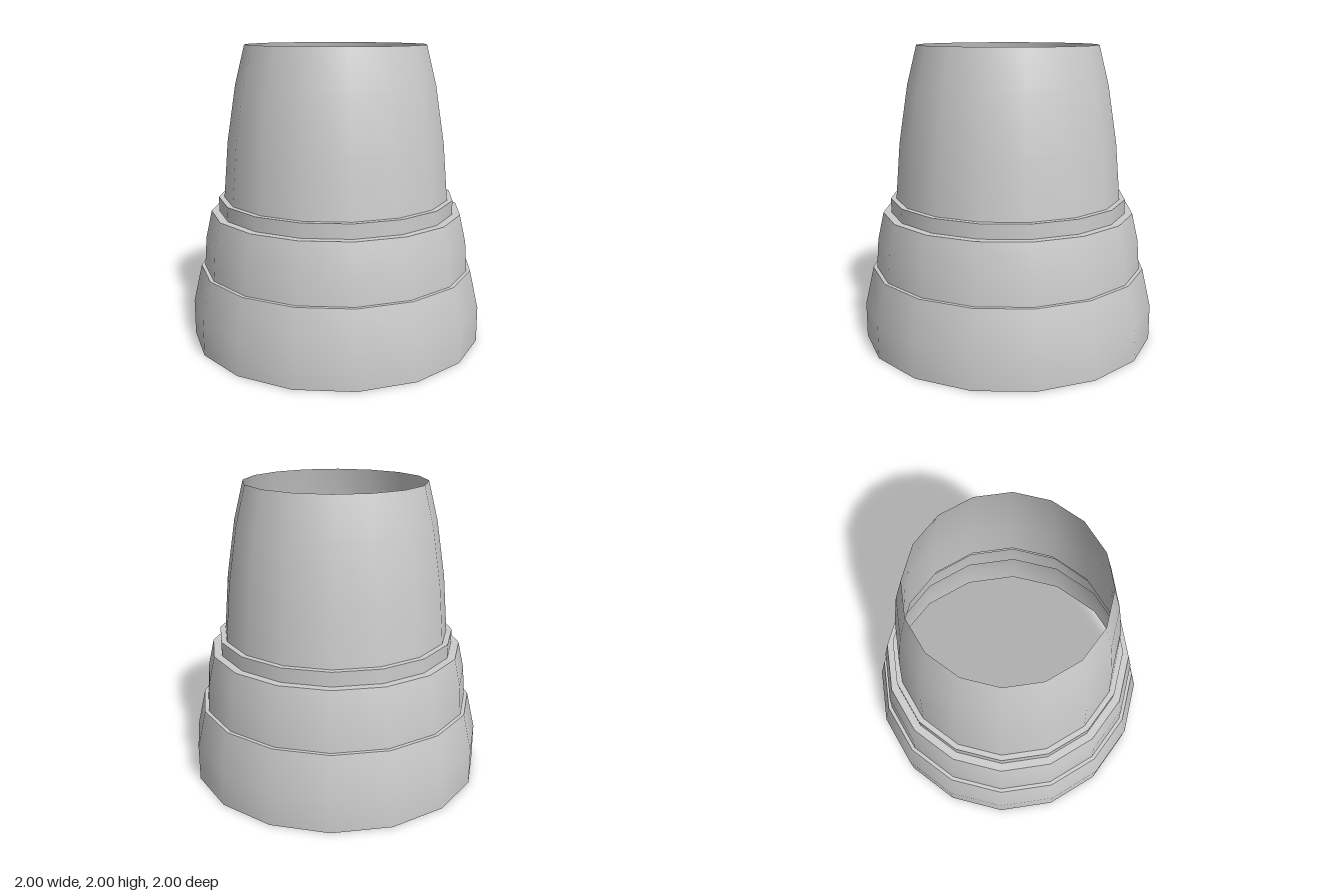
import * as THREE from 'three';

const SIDES = 16;

export function createModel() {
  const model = new THREE.Group();
  model.name = 'steppedNozzle';

  const lightGrey = new THREE.MeshStandardMaterial({ color: 0xcccccc, side: THREE.DoubleSide });
  lightGrey.name = 'lightGrey';

  // Each ring is its own lathe, smooth inside and sharp where rings meet; points are [radius, y]
  const rings = {
    baseSkirt: [[1, 0], [1, 0.24], [0.94, 0.5]],
    baseLedge: [[0.94, 0.5], [0.915, 0.5]],
    middleBand: [[0.915, 0.5], [0.9, 0.7], [0.858, 0.885]],
    middleLedge: [[0.858, 0.885], [0.805, 0.885]],
    collar: [[0.805, 0.885], [0.805, 0.98]],
    collarLedge: [[0.805, 0.98], [0.768, 0.98]],
    upperTube: [[0.768, 0.98], [0.735, 1.36], [0.674, 1.74], [0.608, 2]],
  };

  for (const [name, profile] of Object.entries(rings)) {
    const points = profile.map(([r, y]) => new THREE.Vector2(r, y));
    const mesh = new THREE.Mesh(new THREE.LatheGeometry(points, SIDES), lightGrey);
    mesh.name = name;
    model.add(mesh);
  }
  return model;
}
